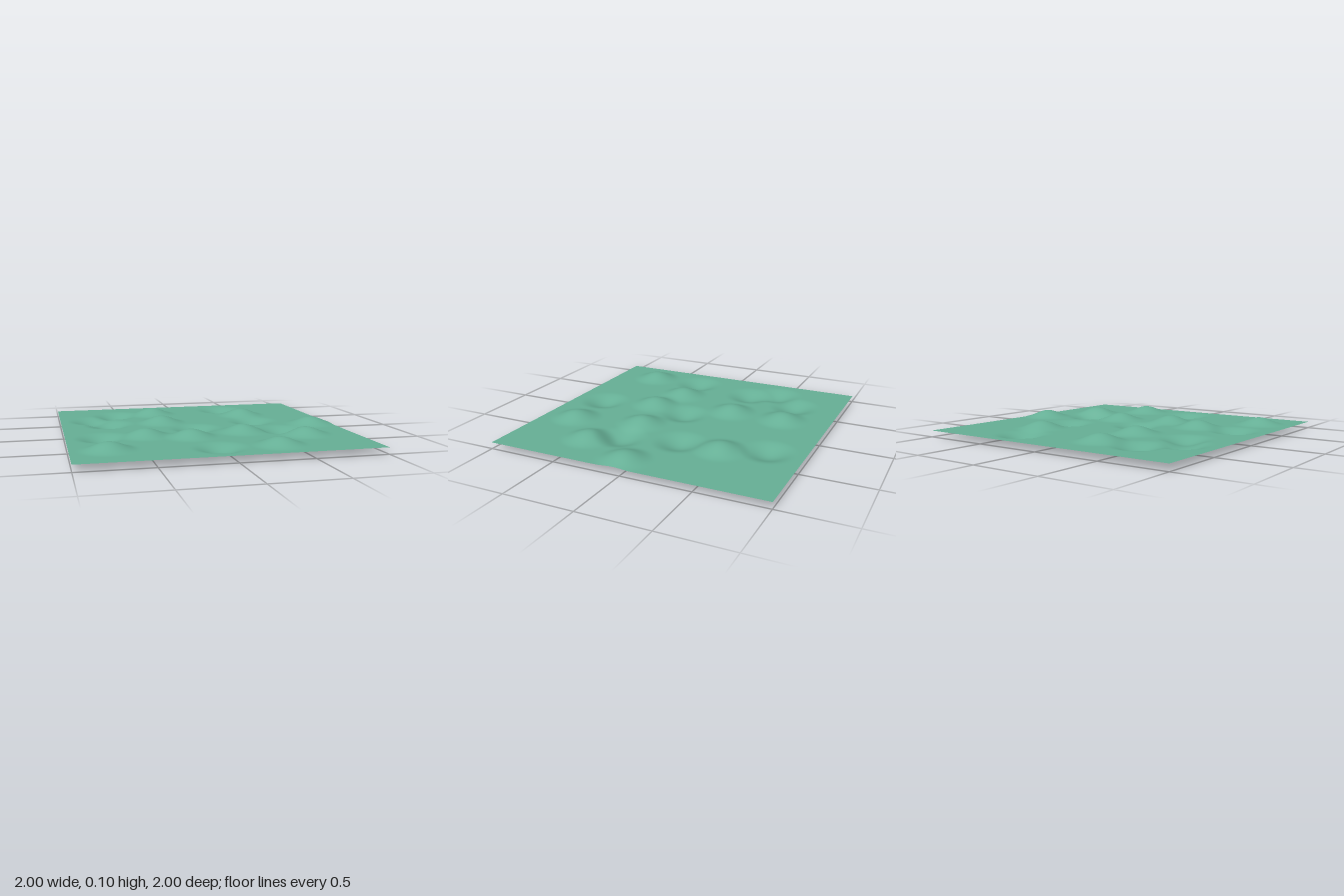
import * as THREE from 'three';

const BASE = 0.046, RISE = 0.053, DIP = 0.046, RADIUS = 0.2;

// Centres (x, z) of the mounds and hollows
const mounds = [
  [-0.25, -0.65], [-0.25, -0.25], [-0.45, 0.25], [-0.15, 0.35], [0.25, 0.25],
  [-0.75, 0.65], [0.35, 0.75], [0.65, 0.45], [0.85, 0.05], [0.45, -0.45],
];
const hollows = [
  [-0.55, -0.65], [-0.75, -0.45], [-0.65, -0.25], [-0.05, 0.05], [-0.75, 0.25],
  [0.55, 0.25], [-0.05, 0.75], [0.35, -0.75], [0.45, -0.15],
];

// Smooth cosine falloff, summed over a list of centres
function swell(centres, x, z) {
  let sum = 0;
  for (const [cx, cz] of centres) {
    const r = Math.hypot(x - cx, z - cz);
    if (r < RADIUS) sum += 0.5 * (1 + Math.cos((Math.PI * r) / RADIUS));
  }
  return sum;
}

export function createModel() {
  const group = new THREE.Group();
  group.name = 'terrain';

  // Square sheet displaced into mounds and hollows
  const geometry = new THREE.PlaneGeometry(2, 2, 120, 120).rotateX(-Math.PI / 2);
  const pos = geometry.attributes.position;
  for (let i = 0; i < pos.count; i++) {
    const x = pos.getX(i), z = pos.getZ(i);
    pos.setY(i, BASE + RISE * swell(mounds, x, z) - DIP * swell(hollows, x, z));
  }
  geometry.computeVertexNormals();

  const material = new THREE.MeshStandardMaterial({ color: 0x66b096, side: THREE.DoubleSide });
  const ground = new THREE.Mesh(geometry, material);
  ground.name = 'groundSurface';
  group.add(ground);
  return group;
}
